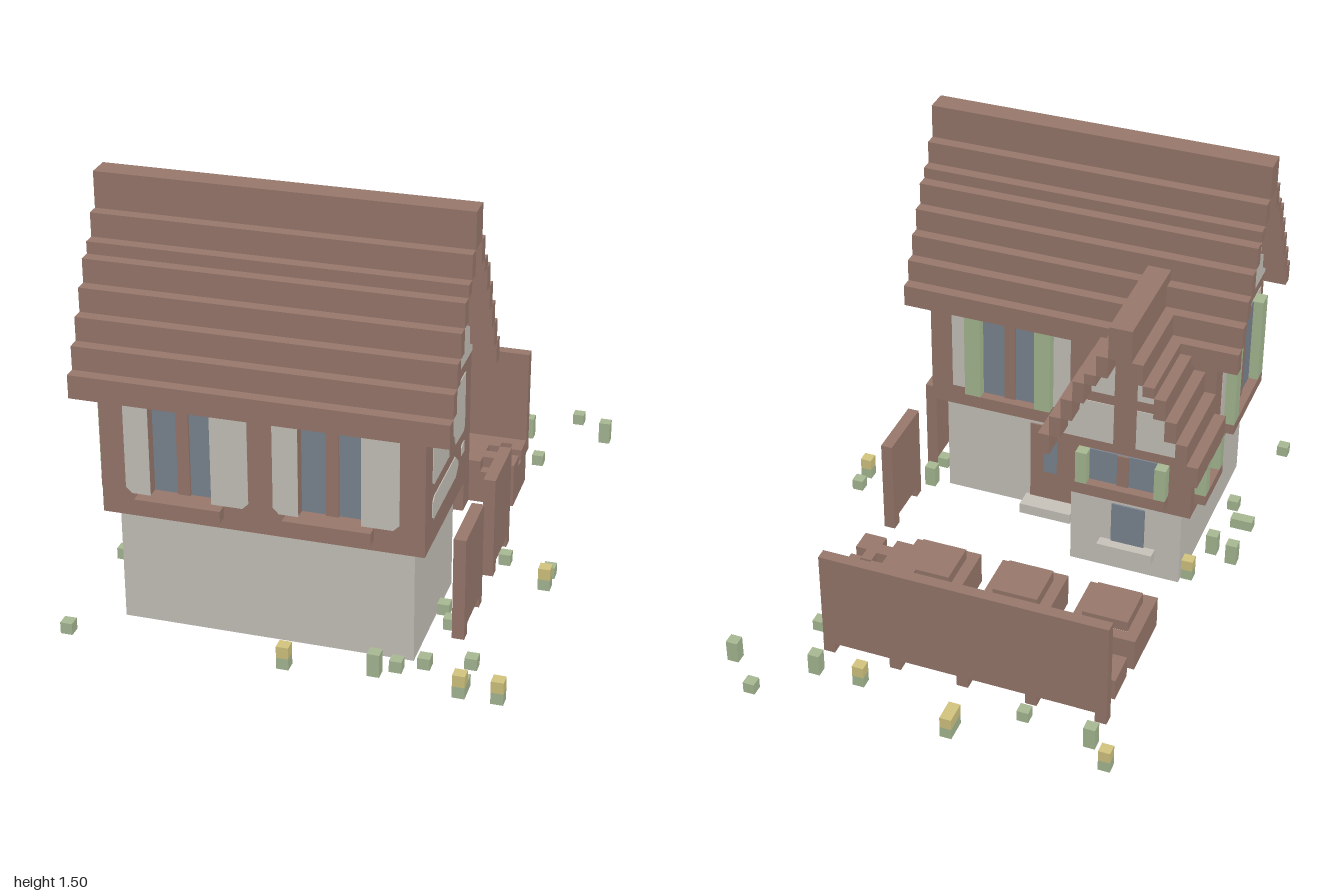
import * as THREE from 'three';

const mat = (name, color) => {
  const m = new THREE.MeshStandardMaterial({ color, side: THREE.DoubleSide });
  m.name = name;
  return m;
};

export function createModel() {
  const wood = mat('brown wood', 0x9a7a6e);
  const plaster = mat('pale plaster', 0xcac5bd);
  const glass = mat('blue glass', 0x7d8793);
  const leaf = mat('leaf green', 0xaabc96);
  const bloom = mat('yellow bloom', 0xd6c881);
  const U = 1 / 24; // size of one block
  const T = 0.003; // thickness of painted plates
  const [TOP, BOTTOM, FRONT, BACK] = [2, 3, 4, 5]; // box faces

  const model = new THREE.Group();
  model.name = 'timberCottage';
  const group = (name, parent = model) => {
    const g = new THREE.Group();
    g.name = name;
    parent.add(g);
    return g;
  };
  const add = (parent, name, geometry, m) => {
    const mesh = new THREE.Mesh(geometry, m);
    mesh.name = name;
    parent.add(mesh);
    return mesh;
  };
  // Block between two corners; blocks on the ground are open below
  const box = (parent, name, m, x0, x1, y0, y1, z0, z1, omit = []) => {
    const geo = new THREE.BoxGeometry(x1 - x0, y1 - y0, z1 - z0);
    const gone = y0 === 0 ? [BOTTOM, ...omit] : omit;
    geo.setIndex([...geo.index.array].filter((_, i) => !gone.includes(Math.floor(i / 6))));
    geo.clearGroups();
    geo.translate((x0 + x1) / 2, (y0 + y1) / 2, (z0 + z1) / 2);
    return add(parent, name, geo, m);
  };
  // Thin painted plate from an outline, facing local +z
  const plate = (parent, pts) => {
    const shape = new THREE.Shape(pts.map(([x, y]) => new THREE.Vector2(x, y)));
    return add(parent, 'plasterField',
      new THREE.ExtrudeGeometry(shape, { depth: T, bevelEnabled: false }), plaster);
  };

  // Walls: hollow ground floors and overhanging timber floors
  const walls = group('walls');
  box(walls, 'groundFloor', plaster, -0.583, 0.415, 0, 0.417, 0.333, 0.833, [BACK]);
  box(walls, 'groundFloorBack', plaster, -0.167, 0.415, 0, 0.417, 0.333, 0.336);
  box(walls, 'wingGroundFloor', plaster, -0.583, -0.167, 0, 0.335, 0.083, 0.333, [FRONT]);
  box(walls, 'upperFloor', wood, -0.625, 0.458, 0.417, 0.88, 0.292, 0.833);
  box(walls, 'wingUpperFloor', wood, -0.625, -0.125, 0.335, 0.6, 0.042, 0.333);

  // Front wall skin, leaving two deep window openings
  const z0 = 0.833, z1 = 0.875;
  box(walls, 'frontBeam', wood, -0.625, 0.458, 0.417, 0.5, z0, z1);
  [[-0.625, -0.458], [-0.25, 0.042], [0.25, 0.458]].forEach(([a, b]) =>
    box(walls, 'frontPier', wood, a, b, 0.5, 0.88, z0, z1));
  // Plaster beside the windows: outer edge with softened corners, inner edge
  [[-0.542, -0.458], [-0.125, -0.25], [-0.042, 0.042], [0.375, 0.25]].forEach(([o, i]) => {
    const s = Math.sign(i - o);
    const pts = [[i, 0.5], [i, 0.835], [o + s * 0.012, 0.835], [o, 0.815], [o, 0.52], [o + s * 0.02, 0.5]];
    plate(walls, s > 0 ? pts.reverse() : pts).position.z = z1;
  });
  [-0.354, 0.146].forEach((x) => {
    [-1, 1].forEach((s) => box(walls, 'frontPane', glass,
      x + s * 0.0625 - 0.042, x + s * 0.0625 + 0.042, 0.5, 0.835, z0, z0 + T));
    box(walls, 'frontMullion', wood, x - 0.021, x + 0.021, 0.5, 0.835, z0, z0 + 0.012);
    box(walls, 'frontSill', wood, x - 0.146, x + 0.146, 0.458, 0.5, z1, z1 + U);
  });

  // Braced plaster fields on the right side wall, drawn in z and y
  const sideField = (pts) => {
    const p = plate(walls, pts.map(([z, y]) => [-z, y]));
    p.rotation.y = Math.PI / 2;
    p.position.x = 0.458;
  };
  sideField([[0.79, 0.785], [0.79, 0.64], [0.78, 0.63], [0.585, 0.63], [0.585, 0.66], [0.65, 0.7], [0.7, 0.755], [0.75, 0.8], [0.77, 0.8]]);
  sideField([[0.71, 0.835], [0.375, 0.835], [0.375, 0.64], [0.39, 0.625], [0.5, 0.63], [0.51, 0.66], [0.58, 0.71], [0.63, 0.77], [0.69, 0.81]]);
  sideField([[0.79, 0.57], [0.77, 0.585], [0.5, 0.585], [0.46, 0.55], [0.46, 0.53], [0.49, 0.505], [0.78, 0.505], [0.79, 0.515]]);
  sideField([[0.415, 0.575], [0.405, 0.583], [0.375, 0.583], [0.375, 0.545], [0.415, 0.545]]);
  box(walls, 'wingSidePlaster', plaster, -0.125, -0.122, 0.42, 0.46, 0.21, 0.27);
  box(walls, 'wingSidePlaster', plaster, -0.125, -0.122, 0.46, 0.5, 0.13, 0.17);

  // Surface window facing local +z: one or two panes, sill and optional shutters
  const addWindow = (name, x, y, z, turn, w, h, shutter, sillMat = wood) => {
    const g = group(name);
    g.position.set(x, y, z);
    g.rotation.y = turn;
    box(g, 'pane', glass, -w / 2, w / 2, -0.001, h, -0.002, 0.006);
    if (w > 0.13) box(g, 'mullion', wood, -0.021, 0.021, -0.001, h, 0, 0.012);
    const e = w / 2 + Math.max(shutter, U);
    box(g, 'sill', sillMat, -e, e, -U, -0.001, 0, U);
    if (shutter) [-1, 1].forEach((s) => {
      const c = s * (w + shutter) / 2;
      box(g, 'shutter', leaf, c - shutter / 2, c + shutter / 2, -0.001, h, 0, U);
    });
  };
  box(walls, 'backPlaster', plaster, -0.083, 0.375, 0.5, 0.835, 0.289, 0.293);
  addWindow('backWindow', 0.146, 0.5, 0.292, Math.PI, 0.21, 0.335, 0.06);
  box(walls, 'sidePlaster', plaster, -0.628, -0.624, 0.5, 0.835, 0.37, 0.833);
  addWindow('sideWindow', -0.625, 0.5, 0.6, -Math.PI / 2, 0.25, 0.335, 0.06);
  addWindow('wingBackWindow', -0.375, 0.417, 0.042, Math.PI, 0.25, 0.13, U);
  addWindow('wingSideWindow', -0.625, 0.417, 0.187, -Math.PI / 2, 0.125, 0.13, U);
  addWindow('wingLowerWindow', -0.385, 0.125, 0.083, Math.PI, 0.125, 0.167, 0, plaster);

  // Back door with frame, glass and step
  const door = group('backDoor');
  box(door, 'frame', wood, -0.083, 0.083, 0, 0.375, 0.327, 0.333);
  box(door, 'glass', glass, -0.03, 0.03, 0.167, 0.32, 0.324, 0.327);
  box(door, 'step', plaster, -0.1, 0.1, 0, U, 0.26, 0.333);

  // Stepped roof along local x, with timbered gable ends
  const steppedRoof = (name, tops, r0, r1, w0, w1, base, beam, ends) => {
    const g = group(name);
    const n = tops.length - 1; // last value is the eave underside
    box(g, 'ridge', wood, r0, r1, tops[1], tops[0], -U, U);
    box(g, 'gablePost', wood, w0, w1, base, tops[1], -U, U);
    for (let k = 1; k < n; k++) [-1, 1].forEach((s) => {
      const a = s > 0 ? k * U : -(k + 1) * U, b = a + U;
      box(g, 'roofStep', wood, r0, r1, tops[k + 1], tops[k], a, b);
      if (k === n - 1) return;
      box(g, 'gableWall', wood, w0, w1, base, tops[k + 1], a, b);
      [[base + U, Math.min(beam, tops[k + 1])], [beam + U, tops[k + 1]]].forEach(([lo, hi]) => {
        if (hi - lo < 0.01) return;
        ends.forEach((x) => box(g, 'gablePlaster', plaster, x - T, x + T, lo, hi, a, b));
      });
    });
    return g;
  };
  const tops = [1.5, 1.375, 1.292, 1.25, 1.167, 1.083, 1.0, 0.917, 0.835];
  steppedRoof('mainRoof', tops, -0.708, 0.542, -0.625, 0.458, 0.835, 1.125, [-0.625, 0.458])
    .position.z = 0.583;
  const wingRoof = steppedRoof('wingRoof', tops.slice(0, 8).map((t) => t - 0.375),
    -0.042, 0.29, 0.042, 0.29, 0.545, 0.75, [0.042]);
  wingRoof.rotation.y = -Math.PI / 2;
  wingRoof.position.x = -0.375;
  box(model, 'wingRidgeEnd', wood, -0.417, -0.333, 1.0, 1.125, 0.29, 0.375);
  box(model, 'wingStepEnd', wood, -0.458, -0.292, 0.9, 1.0, 0.29, 0.333);

  // Fences on short feet
  const fences = group('fences');
  [[0.417, 0.667], [0, 0.25]].forEach(([a, b]) => {
    box(fences, 'sidePanel', wood, 0.5, 0.542, U, 0.375, a, b);
    box(fences, 'sideFoot', wood, 0.5, 0.542, 0, U, a, a + U);
    box(fences, 'sideFoot', wood, 0.5, 0.542, 0, U, b - U, b);
  });
  box(fences, 'backPanel', wood, -0.583, 0.458, U, 0.417, -0.708, -0.667);
  for (let i = 0; i < 5; i++) {
    const x = -0.583 + i * 0.25;
    box(fences, 'backFoot', wood, x, x + U, 0, U, -0.708, -0.667);
  }

  // Three hollow crates with raised tops, open below
  [-0.583, -0.25, 0.083].forEach((x) => {
    const g = group('crate');
    box(g, 'sides', wood, x, x + 0.25, 0, 0.125, -0.417, -0.167, [TOP]);
    box(g, 'raisedTop', wood, x + U, x + 0.208, 0.125, 0.167, -0.375, -0.208, [BOTTOM]);
    const square = (Kind, r) => new Kind([[-r, -r], [r, -r], [r, r], [-r, r]].map(([u, v]) => new THREE.Vector2(u, v)));
    const rim = square(THREE.Shape, 0.125);
    rim.holes.push(square(THREE.Path, 0.0833));
    const top = add(g, 'rim', new THREE.ShapeGeometry(rim), wood);
    top.rotation.x = -Math.PI / 2;
    top.position.set(x + 0.125, 0.125, -0.292);
  });

  // Log stack beside the last crate
  const logs = group('logStack');
  box(logs, 'stackBase', wood, 0.25, 0.5, 0, 0.125, -0.458, -0.25);
  [
    [0.25, 0.375, -0.458, -0.25], [0.375, 0.5, -0.458, -0.417], [0.375, 0.417, -0.417, -0.385],
    [0.417, 0.458, -0.385, -0.333], [0.458, 0.5, -0.417, -0.375], [0.375, 0.417, -0.34, -0.29], [0.417, 0.5, -0.333, -0.25],
  ].forEach(([a, b, c, d]) => box(logs, 'topLog', wood, a, b, 0.125, 0.167, c, d));

  // Wheelbarrow with two wheels and two handles
  const cart = group('wheelbarrow');
  box(cart, 'tray', wood, -0.583, -0.417, U, 0.125, -0.625, -0.5);
  [[-0.667, -0.625], [-0.5, -0.458]].forEach(([a, b]) =>
    box(cart, 'wheel', wood, -0.542, -0.458, 0, 0.083, a, b));
  [[-0.625, -0.583], [-0.542, -0.5]].forEach(([a, b]) =>
    box(cart, 'handle', wood, -0.417, -0.333, 0.083, 0.125, a, b));

  // Garden tufts as x, z, height in blocks, and flowers with yellow heads
  const garden = group('garden');
  const tuft = (x, z, h) => box(garden, 'tuft', leaf, x - U / 2, x + U / 2, 0, h * U, z - U / 2, z + U / 2);
  [
    [-0.565, -0.813, 2], [-0.315, -0.775, 1], [0.438, -0.813, 2], [0.604, -0.979, 1], [0.729, -0.854, 2],
    [0.52, -0.604, 1], [0.563, 0.146, 1], [0.729, 0.188, 1], [-0.729, 0.271, 2], [-0.729, 0.479, 1],
    [-0.729, 0.979, 1], [0.313, 0.938, 2], [0.604, 0.813, 1], [0.604, 0.938, 1], [-0.646, 0.3, 2],
    [-0.688, 0.479, 1], [-0.646, 0.58, 1], [0.48, 0.604, 1], [0.438, 0.52, 1], [0.48, 0.438, 1],
    [0.375, 0.896, 1], [0.458, 0.854, 1], [0.48, 0.313, 2],
  ].forEach((t) => tuft(...t));
  [
    [-0.646, -0.896], [-0.104, -0.938], [-0.104, -0.896], [0.271, -0.813], [0.729, 0.271],
    [0.021, 0.979], [0.604, 0.979], [0.729, 0.979], [-0.605, 0.13],
  ].forEach(([x, z]) => {
    tuft(x, z, 1);
    box(garden, 'flowerHead', bloom, x - U / 2, x + U / 2, U, 2 * U, z - U / 2, z + U / 2);
  });

  return model;
}
